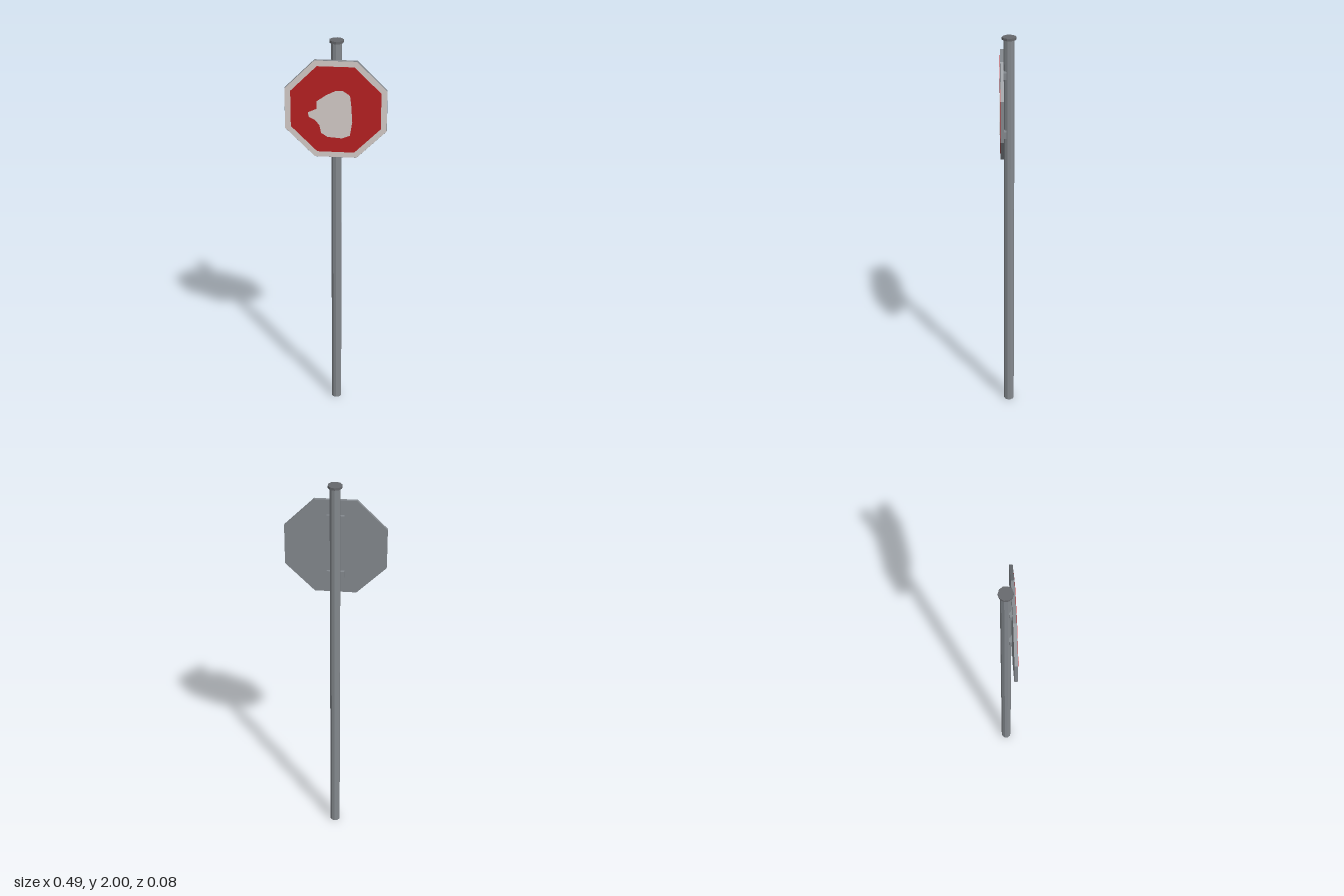
import * as THREE from 'three';

const CENTER_Y = 1.668;
const POLE_Z = -0.006;

// Regular octagon with flat top, given its half width
function octagon(half) {
  const r = half / Math.cos(Math.PI / 8);
  const points = [];
  for (let i = 0; i < 8; i++) {
    const a = Math.PI / 8 + (i * Math.PI) / 4;
    points.push(new THREE.Vector2(r * Math.cos(a), r * Math.sin(a)));
  }
  return new THREE.Shape(points);
}

const slab = (shape, depth) => new THREE.ExtrudeGeometry(shape, { depth, bevelEnabled: false });

export function createModel() {
  const material = (name, color) => {
    const m = new THREE.MeshStandardMaterial({ color, flatShading: true });
    m.name = name;
    return m;
  };
  const steel = material('steel grey', 0x84898e);
  const dark = material('dark grey', 0x66686c);
  const white = material('off white', 0xd6cdca);
  const red = material('sign red', 0xb82022);

  const group = new THREE.Group();
  group.name = 'roadSign';
  const add = (name, geometry, mat, x, y, z) => {
    const mesh = new THREE.Mesh(geometry, mat);
    mesh.name = name;
    mesh.position.set(x, y, z);
    group.add(mesh);
    return mesh;
  };

  // Ten-sided pole and its cap
  add('pole', new THREE.CylinderGeometry(0.0255, 0.0255, 1.99, 10), steel, 0, 0.995, POLE_Z);
  add('poleCap', new THREE.CylinderGeometry(0.0345, 0.0345, 0.012, 10), dark, 0, 1.994, POLE_Z);

  // Plate with white border and red field on its front
  add('signPlate', slab(octagon(0.243), 0.0155), steel, 0, CENTER_Y, 0.0205);
  add('whiteBorder', new THREE.ShapeGeometry(octagon(0.2425)), white, 0, CENTER_Y, 0.0365);
  add('redField', slab(octagon(0.215), 0.002), red, 0, CENTER_Y, 0.0366);

  // Pale hand-like patch in the middle
  const patch = [
    [0.0, 1.765], [0.035, 1.765], [0.068, 1.742], [0.074, 1.69], [0.079, 1.61],
    [0.068, 1.54], [0.03, 1.525], [-0.04, 1.53], [-0.07, 1.55], [-0.078, 1.59],
    [-0.1, 1.615], [-0.128, 1.63], [-0.133, 1.652], [-0.09, 1.672], [-0.09, 1.71],
    [-0.045, 1.742],
  ].map(([x, y]) => new THREE.Vector2(x, y - CENTER_Y));
  add('handPatch', slab(new THREE.Shape(patch), 0.001), white, 0, CENTER_Y, 0.0386);

  // Brackets holding the plate to the pole
  for (const y of [1.82, 1.525]) {
    add('bracket', new THREE.BoxGeometry(0.084, 0.034, 0.014), steel, 0, y, 0.0145);
  }
  return group;
}
